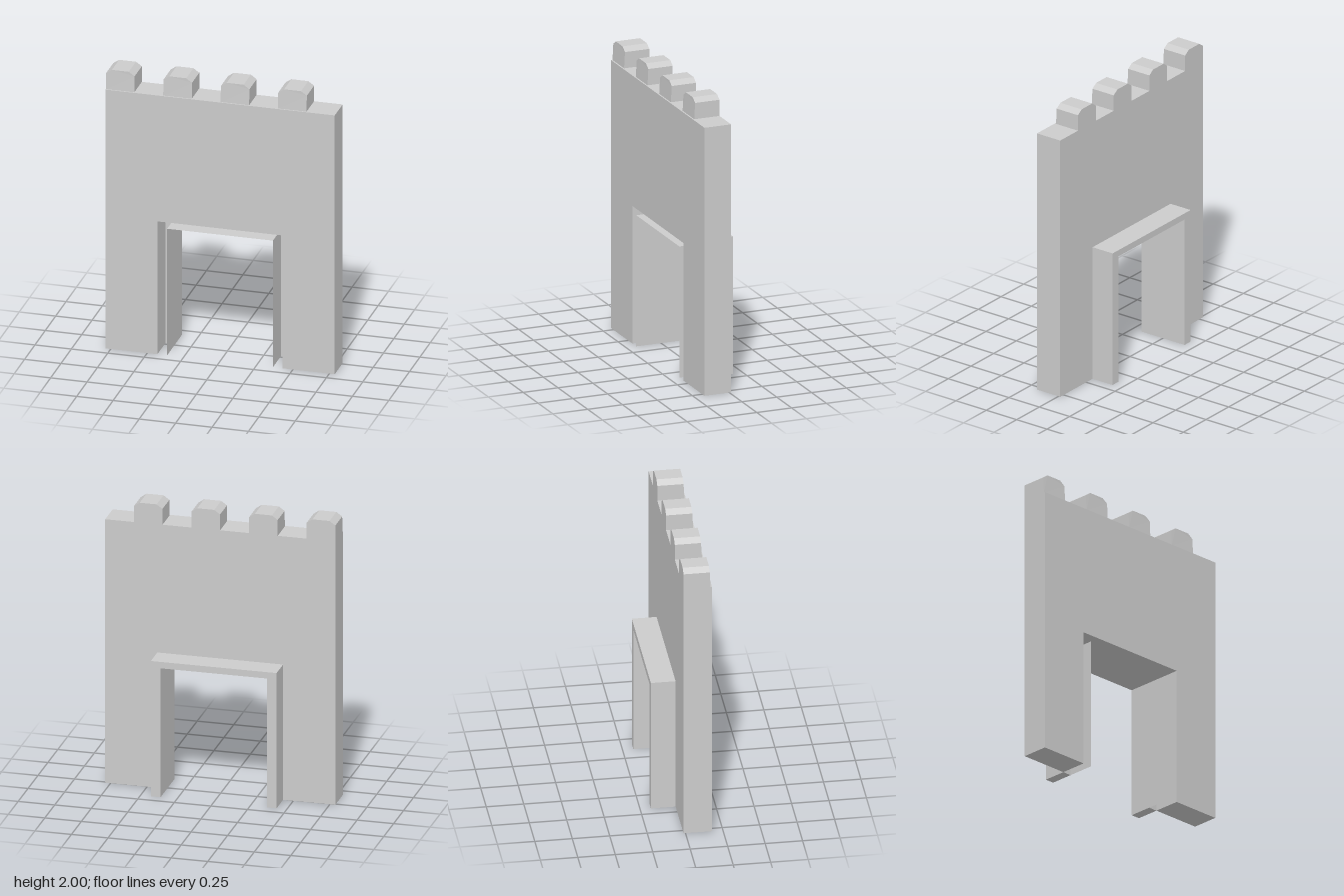
import * as THREE from 'three';

const mat = new THREE.MeshStandardMaterial({ color: 0xcccccc, flatShading: true });
const thin = new THREE.MeshStandardMaterial({ color: 0xcccccc, flatShading: true, side: THREE.DoubleSide });

const BACK = -0.178, MID = -0.013, FRONT = 0.178;
const OUTER = { w: 0.43, h: 0.955 }; // opening cut through the wall
const INNER = { w: 0.363, h: 0.91 }; // clear passage inside the frame

// Upside-down U: a rectangle with a doorway cut from its lower edge
function archShape(w, h, door) {
  return new THREE.Shape([
    [-w, 0], [-door.w, 0], [-door.w, door.h], [door.w, door.h],
    [door.w, 0], [w, 0], [w, h], [-w, h],
  ].map(([x, y]) => new THREE.Vector2(x, y)));
}

function extrude(shape, z0, z1) {
  const geo = new THREE.ExtrudeGeometry(shape, { depth: z1 - z0, bevelEnabled: false });
  return geo.translate(0, 0, z0);
}

function add(group, name, geo, material = mat) {
  const mesh = new THREE.Mesh(geo, material);
  mesh.name = name;
  group.add(mesh);
  return mesh;
}

// Battlement block with chamfered top corners and a slightly leaning front
function merlonGeometry() {
  const w = 0.098, base = 1.86, shoulder = 1.972, top = 2;
  const shape = new THREE.Shape([
    [-w, base], [w, base], [w, shoulder], [w - 0.04, top], [-w + 0.04, top], [-w, shoulder],
  ].map(([x, y]) => new THREE.Vector2(x, y)));
  const geo = extrude(shape, MID, 0.168);
  const p = geo.attributes.position;
  for (let i = 0; i < p.count; i++) {
    if (p.getZ(i) > 0 && p.getY(i) > base + 0.01) p.setZ(i, 0.162);
  }
  geo.computeVertexNormals();
  return geo;
}

export function createModel() {
  const model = new THREE.Group();
  model.name = 'gateWall';

  add(model, 'wall', extrude(archShape(0.787, 1.86, OUTER), MID, FRONT));
  add(model, 'doorFrame', extrude(archShape(OUTER.w, OUTER.h, INNER), BACK, MID));

  // Thin lining carrying the passage through to the front of the wall
  const depth = FRONT - MID, midZ = (FRONT + MID) / 2;
  for (const side of [-1, 1]) {
    const jamb = new THREE.PlaneGeometry(depth, INNER.h).rotateY(-side * Math.PI / 2);
    add(model, side > 0 ? 'leftLining' : 'rightLining', jamb, thin)
      .position.set(side * INNER.w, INNER.h / 2, midZ);
  }
  const lintel = new THREE.PlaneGeometry(2 * INNER.w, depth).rotateX(Math.PI / 2);
  add(model, 'topLining', lintel, thin).position.set(0, INNER.h, midZ);

  // Battlements, spaced evenly from the right end
  const merlon = merlonGeometry();
  for (let i = 0; i < 4; i++) {
    add(model, 'merlon' + (i + 1), merlon).position.x = -0.689 + i * 0.394;
  }
  return model;
}
